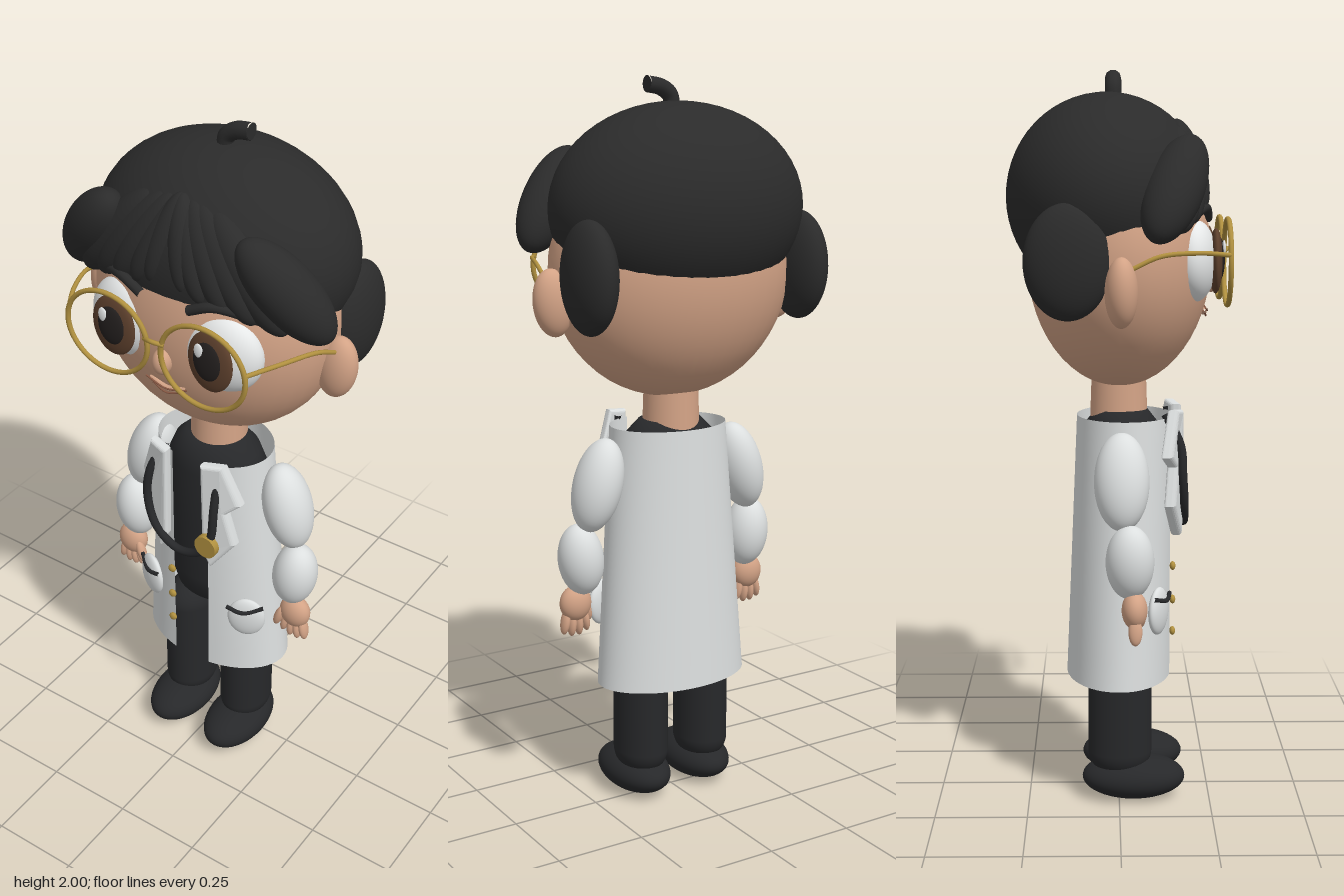
import * as THREE from 'three';

const mat = (name, color) => {
  const m = new THREE.MeshStandardMaterial({ color });
  m.name = name;
  return m;
};
const V = (x, y, z) => new THREE.Vector3(x, y, z);

// Half-widths and centre of the coat's oval cross-section at height y
function coatSection(y) {
  const t = THREE.MathUtils.clamp((y - 0.345) / 0.725, 0, 1);
  return { rx: 0.225 - 0.055 * t, rz: 0.145 - 0.014 * t, cz: 0.016 * t };
}
function coatFront(x, y) {
  const { rx, rz, cz } = coatSection(y);
  return cz + rz * Math.sqrt(Math.max(0, 1 - (x / rx) ** 2));
}

export function createModel() {
  const model = new THREE.Group();
  model.name = 'character';
  const skin = mat('skin', 0xd3a386);
  const hair = mat('hair black', 0x2b2b2b);
  const cloth = mat('cloth black', 0x27282a);
  const white = mat('coat white', 0xdcdfdf);
  white.side = THREE.DoubleSide;
  const eyeWhite = mat('eye white', 0xe6e8e8);
  const iris = mat('iris brown', 0x5c3f2c);
  const pupil = mat('pupil black', 0x231f1e);
  const gold = mat('gold', 0xb0903f);
  const lip = mat('lip line', 0x8a5a45);

  const add = (name, geo, material) => {
    const m = new THREE.Mesh(geo, material);
    m.name = name;
    model.add(m);
    return m;
  };
  const sphere = new THREE.SphereGeometry(1, 40, 28);
  const ball = (name, material, pos, radii, rot = [0, 0, 0]) => {
    const m = add(name, sphere, material);
    m.position.set(...pos);
    m.scale.set(...radii);
    m.rotation.set(...rot);
    return m;
  };
  const tube = (name, material, pts, r, segs = 40) =>
    add(name, new THREE.TubeGeometry(
      new THREE.CatmullRomCurve3(pts.map(p => V(...p))), segs, r, 10), material);
  // Lock of hair: an ellipsoid stretched from a to b
  const lock = (name, a, b, r) => {
    const p = V(...a), q = V(...b), d = q.clone().sub(p);
    const m = ball(name, hair, p.clone().add(q).multiplyScalar(0.5).toArray(), [r, d.length() / 2, r]);
    m.quaternion.setFromUnitVectors(V(0, 1, 0), d.normalize());
  };

  // Head, neck and nose
  ball('head', skin, [0, 1.5, 0], [0.35, 0.35, 0.25]);
  add('neck', new THREE.CylinderGeometry(0.074, 0.08, 0.17, 32), skin).position.y = 1.11;
  ball('nose', skin, [0, 1.44, 0.25], [0.026, 0.036, 0.028]);

  // Mouth
  const smile = (y, w, z) => [[-w, y + 0.012, z - 0.006], [0, y, z], [w, y + 0.012, z - 0.006]];
  tube('mouth', skin, smile(1.35, 0.055, 0.231), 0.008);
  tube('upperLipLine', lip, smile(1.354, 0.064, 0.24), 0.0025);
  tube('lowerLipLine', lip, smile(1.34, 0.045, 0.237), 0.0025);

  // Hair cap and the little curl on top
  ball('hairCap', hair, [0, 1.66, -0.033], [0.362, 0.276, 0.271]);
  tube('hairCurl', hair, [[0.005, 1.91, -0.015], [0.012, 1.95, -0.015], [0.04, 1.97, -0.015], [0.082, 1.978, -0.015]], 0.022);
  const tip = add('hairCurlEnd', new THREE.CircleGeometry(0.022, 16), hair);
  tip.position.set(0.082, 1.978, -0.015);
  tip.rotation.y = Math.PI / 2;

  // Fringe locks as [top, bottom, radius] for one side
  const fringe = [
    [[0.0, 1.865, 0.15], [0.05, 1.64, 0.225], 0.04],
    [[0.0, 1.86, 0.14], [0.1, 1.625, 0.22], 0.046],
    [[0.02, 1.855, 0.14], [0.165, 1.61, 0.205], 0.052],
    [[0.04, 1.85, 0.14], [0.23, 1.595, 0.185], 0.056],
    [[0.08, 1.84, 0.14], [0.3, 1.575, 0.155], 0.062],
    [[0.19, 1.81, 0.19], [0.385, 1.555, 0.085], 0.075],
  ];

  for (const s of [-1, 1]) {
    const side = s > 0 ? 'left' : 'right';
    const X = p => [p[0] * s, p[1], p[2]];
    const sball = (n, m, p, r, rot = [0, 0, 0]) =>
      ball(side + n, m, X(p), r, [rot[0], rot[1] * s, rot[2] * s]);

    for (const [a, b, r] of fringe) lock(side + 'FringeLock', X(a), X(b), r);
    sball('SideHair', hair, [0.325, 1.5, -0.133], [0.06, 0.148, 0.112]);
    sball('Ear', skin, [0.358, 1.425, 0.002], [0.055, 0.09, 0.042], [0, 0, -0.12]);

    // Eyes and brows
    sball('Eye', eyeWhite, [0.15, 1.495, 0.195], [0.106, 0.108, 0.06], [0, 0.15, 0]);
    sball('Iris', iris, [0.147, 1.495, 0.252], [0.065, 0.085, 0.018]);
    sball('Pupil', pupil, [0.146, 1.5, 0.262], [0.042, 0.056, 0.014]);
    ball(side + 'EyeHighlight', eyeWhite, [0.146 * s - 0.02, 1.53, 0.272], [0.013, 0.02, 0.005]);
    tube(side + 'Brow', hair, [[0.07, 1.605, 0.235], [0.14, 1.632, 0.225], [0.24, 1.605, 0.175]].map(X), 0.013);

    // Glasses
    const rim = add(side + 'GlassesRim', new THREE.TorusGeometry(0.125, 0.007, 10, 56), gold);
    rim.position.set(0.145 * s, 1.492, 0.283);
    rim.scale.y = 0.9;
    tube(side + 'GlassesTemple', gold, [[0.268, 1.515, 0.283], [0.315, 1.522, 0.2], [0.352, 1.515, 0.1], [0.365, 1.485, 0.03]].map(X), 0.006);

    // Sleeves and hands
    sball('UpperSleeve', white, [0.23, 0.922, 0.005], [0.066, 0.13, 0.073], [0, 0, 0.27]);
    sball('LowerSleeve', white, [0.273, 0.716, 0.026], [0.063, 0.1, 0.064], [0, 0, -0.1]);
    sball('Palm', skin, [0.285, 0.59, 0.038], [0.046, 0.05, 0.034]);
    for (let i = 0; i < 4; i++)
      sball('Finger', skin, [0.256 + i * 0.02, 0.54 - (i % 3 ? 0.008 : 0), 0.04], [0.012, 0.036, 0.018], [0, 0, 0.12 * (i - 1.5)]);
    sball('Thumb', skin, [0.243, 0.565, 0.055], [0.013, 0.038, 0.015], [0, 0, -0.3]);

    // Trousers and shoes
    const leg = add(side + 'Leg', new THREE.CapsuleGeometry(0.073, 0.29, 12, 32), cloth);
    leg.position.set(0.1 * s, 0.285, 0.002);
    leg.scale.z = 1.2;
    sball('Shoe', cloth, [0.1, 0.065, 0.04], [0.087, 0.061, 0.142]);

    // Notched lapel bent to follow the coat
    const outline = [[0.065, 1.08], [0.11, 1.085], [0.15, 0.975], [0.115, 0.945], [0.14, 0.84], [0.085, 0.76], [0.07, 0.8]];
    if (s < 0) outline.reverse();
    const lapelGeo = new THREE.ExtrudeGeometry(
      new THREE.Shape(outline.map(([x, y]) => new THREE.Vector2(x * s, y))),
      { depth: 0.012, bevelSize: 0.01, bevelThickness: 0.01, bevelSegments: 4 });
    const lp = lapelGeo.attributes.position;
    for (let i = 0; i < lp.count; i++)
      lp.setZ(i, lp.getZ(i) + 0.012 + coatFront(lp.getX(i) * 0.8, lp.getY(i)));
    lapelGeo.computeVertexNormals();
    add(side + 'Lapel', lapelGeo, white);

    // Pocket with a dark opening
    sball('Pocket', white, [0.165, 0.555, 0.105], [0.054, 0.065, 0.02], [0, 0.42, 0]);
    tube(side + 'PocketOpening', cloth, [[0.118, 0.593, 0.137], [0.165, 0.584, 0.127], [0.212, 0.598, 0.09]].map(X), 0.006);
  }
  tube('glassesBridge', gold, [[-0.03, 1.515, 0.283], [0, 1.522, 0.294], [0.03, 1.515, 0.283]], 0.006);

  // Shirt
  const profile = [[0, 0.5], [0.07, 0.51], [0.125, 0.55], [0.148, 0.63], [0.15, 0.85], [0.145, 1], [0.125, 1.05], [0.09, 1.085], [0, 1.09]];
  const shirt = add('shirt', new THREE.LatheGeometry(profile.map(p => new THREE.Vector2(...p)), 40), cloth);
  shirt.scale.z = 0.78;
  shirt.position.z = 0.008;

  // Long coat, open down the front with straight edges
  const coatGeo = new THREE.CylinderGeometry(1, 1, 1, 56, 10, true);
  const cp = coatGeo.attributes.position, uv = coatGeo.attributes.uv;
  for (let i = 0; i < cp.count; i++) {
    const y = 0.345 + 0.725 * uv.getY(i);
    const { rx, rz, cz } = coatSection(y);
    const gap = Math.asin(0.058 / rx);
    const a = gap + uv.getX(i) * (2 * Math.PI - 2 * gap);
    cp.setXYZ(i, rx * Math.sin(a), y, cz + rz * Math.cos(a));
  }
  coatGeo.computeVertexNormals();
  add('coat', coatGeo, white);
  for (const y of [0.655, 0.56, 0.47])
    ball('button', gold, [-0.062, y, coatFront(0.06, y) + 0.008], [0.012, 0.012, 0.008]);

  // Stethoscope
  tube('stethoscopeTube', cloth, [
    [-0.09, 1.08, 0.125], [-0.115, 1.0, 0.165], [-0.122, 0.91, 0.172], [-0.09, 0.82, 0.178], [-0.02, 0.772, 0.178],
    [0.05, 0.79, 0.178], [0.09, 0.85, 0.178], [0.1, 0.96, 0.172], [0.092, 1.08, 0.135]], 0.012, 80);
  const chest = add('stethoscopeChestPiece', new THREE.CylinderGeometry(0.034, 0.034, 0.02, 32), gold);
  chest.position.set(0.085, 0.835, 0.185);
  chest.rotation.x = Math.PI / 2;

  return model;
}
